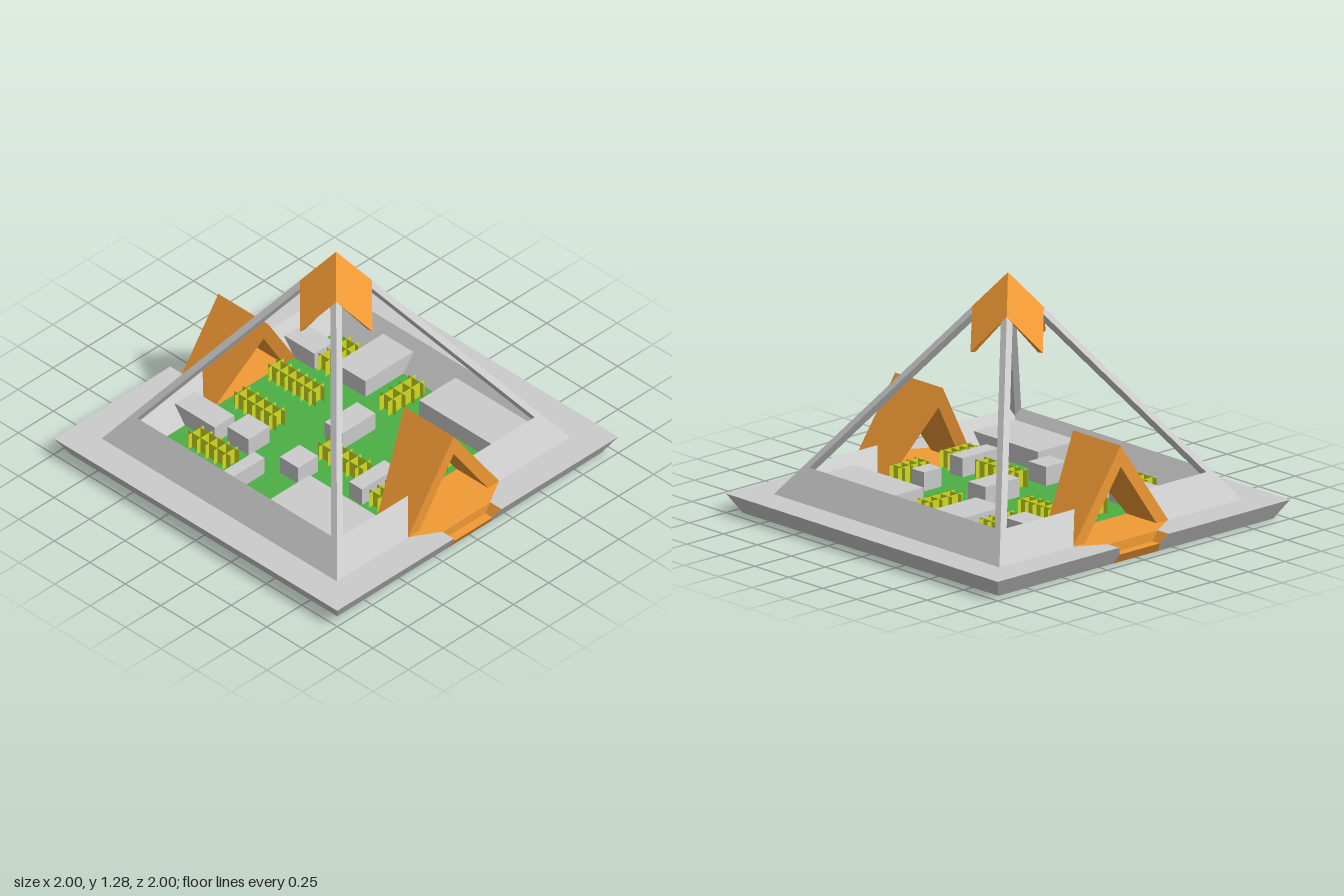
import * as THREE from 'three';
import { ConvexGeometry } from 'three/addons/geometries/ConvexGeometry.js';

const make = (color) => new THREE.MeshStandardMaterial({ color, flatShading: true, side: THREE.DoubleSide });
const V = (x, y, z) => new THREE.Vector3(x, y, z);

const APEX = 1.28, GROUND = 0.1, WALL_TOP = 0.25;
// half width of the big pyramid at height y
const half = (y) => 0.83 * (APEX - y) / (APEX - GROUND);

// one geometry from a list of convex polygons, each a list of [x, y, z]
function polygons(list) {
  const pos = [];
  for (const p of list)
    for (let i = 1; i < p.length - 1; i++) pos.push(...p[0], ...p[i], ...p[i + 1]);
  const g = new THREE.BufferGeometry();
  g.setAttribute('position', new THREE.Float32BufferAttribute(pos, 3));
  g.computeVertexNormals();
  return g;
}

// flat horizontal shape from [x, z] points, facing up
function flat(points, y, hole) {
  const toV2 = (pts) => pts.map(([x, z]) => new THREE.Vector2(x, -z));
  const s = new THREE.Shape(toV2(points));
  if (hole) s.holes.push(new THREE.Path(toV2(hole)));
  return new THREE.ShapeGeometry(s).rotateX(-Math.PI / 2).translate(0, y, 0);
}

export function createModel() {
  const model = new THREE.Group();
  const grey = make(0xcccccc), orange = make(0xf29a35), green = make(0x4caf45), lime = make(0xd2de22);
  const add = (name, geo, mat, parent = model) => {
    const m = new THREE.Mesh(geo, mat);
    m.name = name;
    parent.add(m);
    return m;
  };

  // base plate: top with entrance notches, around the garden and hall floors
  const notch = [[-0.17, 1], [-0.17, 0.92], [0.17, 0.92], [0.17, 1]];
  const hallEdge = [[-0.61, 0.61], [-0.32, 0.83], [-0.17, 0.919], [0.17, 0.919], [0.32, 0.83], [0.61, 0.61]];
  const turn = (pts) => pts.map(([x, z]) => [-x, -z]);
  add('baseTop', flat([[-1, 1], ...notch, [1, 1], [1, -1], ...turn(notch), [-1, -1]], GROUND,
    [...hallEdge, ...turn(hallEdge)]), grey);
  add('gardenFloor', flat([[-0.61, 0.61], [0.61, 0.61], [0.61, -0.61], [-0.61, -0.61]], GROUND), green);

  // sloping rim of the base
  const b = 0.94;
  const rim = [];
  for (const s of [1, -1]) {
    rim.push([[s, 0.1, s], [s * b, 0, s * b], [s * b, 0, -s * b], [s, 0.1, -s]]);
    for (const m of [1, -1])
      rim.push([[m * 0.135, 0.05, s * 0.97], [m * 0.17, 0.1, s], [m, 0.1, s], [m * b, 0, s * b], [m * 0.155, 0, s * b]]);
  }
  add('baseRim', polygons(rim), grey);

  // low walls with a sharp crest; front and back ones leave a gap for the halls
  const section = [[0.83, GROUND], [half(WALL_TOP), WALL_TOP], [0.61, GROUND]];
  for (const s of [1, -1]) {
    add('sideWall', new ConvexGeometry(section.flatMap(([r, y]) => [V(s * r, y, r), V(s * r, y, -r)])), grey);
    for (const m of [1, -1])
      add('endWall', new ConvexGeometry(section.flatMap(([r, y]) =>
        [V(m * r, y, s * r), V(m * (y > 0.2 ? 0.18 : 0.285), y, s * r)])), grey);
  }

  // four corner beams rising to the cap
  for (const sx of [1, -1]) for (const sz of [1, -1]) {
    const pts = [];
    for (const y of [0.2, 1.1]) {
      const h = half(y), w = h - 0.042, i = h - 0.056;
      for (const [x, z] of [[h, h], [w, h], [h, w], [i, i]]) pts.push(V(sx * x, y, sz * z));
    }
    add('cornerBeam', new ConvexGeometry(pts), grey);
  }

  // cap: a kite on each pyramid face, with an inner skin and a rim
  const cap = [];
  const outer = { a: APEX, e: [0.127, 1.1], t: [0.257, 0.915] };
  const inner = { a: 1.225, e: [0.1, 1.085], t: [0.222, 0.91] };
  for (let k = 0; k < 4; k++) {
    const rot = ([x, y, z]) => V(x, y, z).applyAxisAngle(V(0, 1, 0), k * Math.PI / 2).toArray();
    const kite = (c) => [[0, c.a, 0], [-c.e[0], c.e[1], c.e[0]], [0, c.t[1], c.t[0]], [c.e[0], c.e[1], c.e[0]]].map(rot);
    const o = kite(outer), i = kite(inner);
    cap.push(o, [...i].reverse(), [o[1], i[1], i[2], o[2]], [o[2], i[2], i[3], o[3]]);
  }
  add('apexCap', polygons(cap), orange);

  // entrance halls, front and back
  for (const s of [1, -1]) {
    const hall = new THREE.Group();
    hall.name = s > 0 ? 'frontHall' : 'backHall';
    hall.rotation.y = s > 0 ? 0 : Math.PI;
    model.add(hall);

    const frame = new THREE.Shape([[-0.325, 0.1], [-0.245, 0.1], [0, 0.45], [0.245, 0.1], [0.325, 0.1], [0, 0.56]]
      .map(([x, y]) => new THREE.Vector2(x, y)));
    const geo = new THREE.ExtrudeGeometry(frame, { depth: 1, bevelEnabled: false });
    const p = geo.attributes.position;
    // the inner end leans towards the garden
    for (let i = 0; i < p.count; i++)
      p.setZ(i, p.getZ(i) > 0.5 ? 0.83 : 0.61 - (p.getY(i) - 0.1) * 0.283);
    geo.computeVertexNormals();
    add('gableRoof', geo, orange, hall);
    add('hallFloor', flat(hallEdge, GROUND), orange, hall);

    // sunken step with sloping cheeks
    const step = [
      [[-0.17, 0.1, 0.92], [-0.135, 0.05, 0.92], [0.135, 0.05, 0.92], [0.17, 0.1, 0.92]],
      [[-0.135, 0.05, 0.92], [-0.135, 0.05, 0.97], [0.135, 0.05, 0.97], [0.135, 0.05, 0.92]],
      [[-0.135, 0.05, 0.97], [-0.155, 0, b], [0.155, 0, b], [0.135, 0.05, 0.97]],
    ];
    for (const m of [1, -1])
      step.push([[m * 0.17, 0.1, 0.92], [m * 0.17, 0.1, 1], [m * 0.135, 0.05, 0.97], [m * 0.135, 0.05, 0.92]]);
    add('entranceStep', polygons(step), orange, hall);
  }

  // flat-topped buildings: x0, x1, z0, z1
  for (const [x0, x1, z0, z1] of [
    [-0.46, -0.32, -0.68, -0.4], [-0.41, -0.26, -0.36, -0.21], [-0.68, -0.46, -0.12, -0.05],
    [-0.4, -0.26, 0, 0.13], [-0.68, -0.4, 0.21, 0.68], [-0.3, -0.05, 0.39, 0.48],
    [0.13, 0.25, 0.35, 0.44], [0.42, 0.68, 0.17, 0.68], [0.34, 0.68, -0.34, -0.13],
    [0.32, 0.46, -0.68, -0.47], [-0.04, 0.19, -0.04, 0.09],
  ]) add('building', new THREE.BoxGeometry(x1 - x0, 0.1, z1 - z0).translate((x0 + x1) / 2, 0.15, (z0 + z1) / 2), grey);

  // hedges of crossed upright cards: centre x, z, length, runs along z
  for (const [x, z, length, alongZ] of [
    [-0.14, -0.4, 0.3, true], [0.14, -0.42, 0.34, true], [-0.14, 0.2, 0.32, true], [-0.53, -0.34, 0.3, true],
    [0.44, 0.03, 0.26, false], [0.44, -0.42, 0.24, false], [0.17, 0.54, 0.22, false], [-0.18, 0.55, 0.22, false],
  ]) {
    const hedge = new THREE.Group();
    hedge.name = 'hedge';
    hedge.position.set(x, 0.145, z);
    hedge.rotation.y = alongZ ? Math.PI / 2 : 0;
    model.add(hedge);
    for (const off of [-0.03, 0.03])
      add('longLeafCard', new THREE.PlaneGeometry(length, 0.09).translate(0, 0, off), lime, hedge);
    const n = Math.round(length / 0.06);
    for (let i = 0; i < n; i++)
      add('crossLeafCard', new THREE.PlaneGeometry(0.11, 0.09).rotateY(Math.PI / 2)
        .translate(((i + 0.5) / n - 0.5) * length, 0, 0), lime, hedge);
  }
  return model;
}
